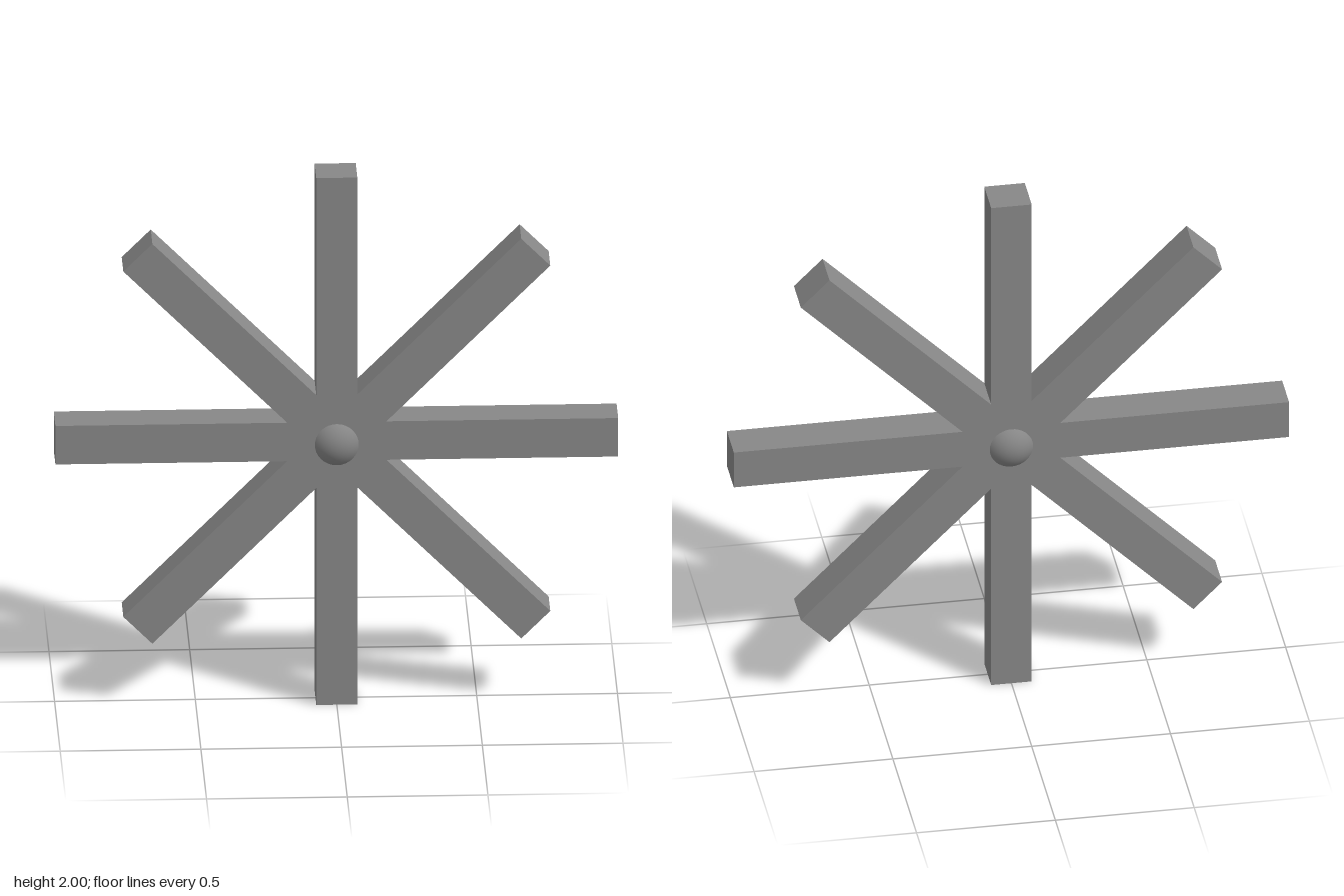
import * as THREE from 'three';

export function createModel() {
  const group = new THREE.Group();
  const material = new THREE.MeshStandardMaterial({ color: 0x888888 });

  // Four square beams crossing at the centre make eight spokes
  const beamGeometry = new THREE.BoxGeometry(2, 0.146, 0.146);
  for (let i = 0; i < 4; i++) {
    const beam = new THREE.Mesh(beamGeometry, material);
    beam.name = `beam${i + 1}`;
    beam.position.y = 1;
    beam.rotation.z = (i * Math.PI) / 4;
    group.add(beam);
  }

  // Ball hub showing as a dome on the front and back
  const hub = new THREE.Mesh(new THREE.SphereGeometry(0.107, 32, 24), material);
  hub.name = 'hub';
  hub.position.y = 0.987;
  group.add(hub);

  return group;
}
